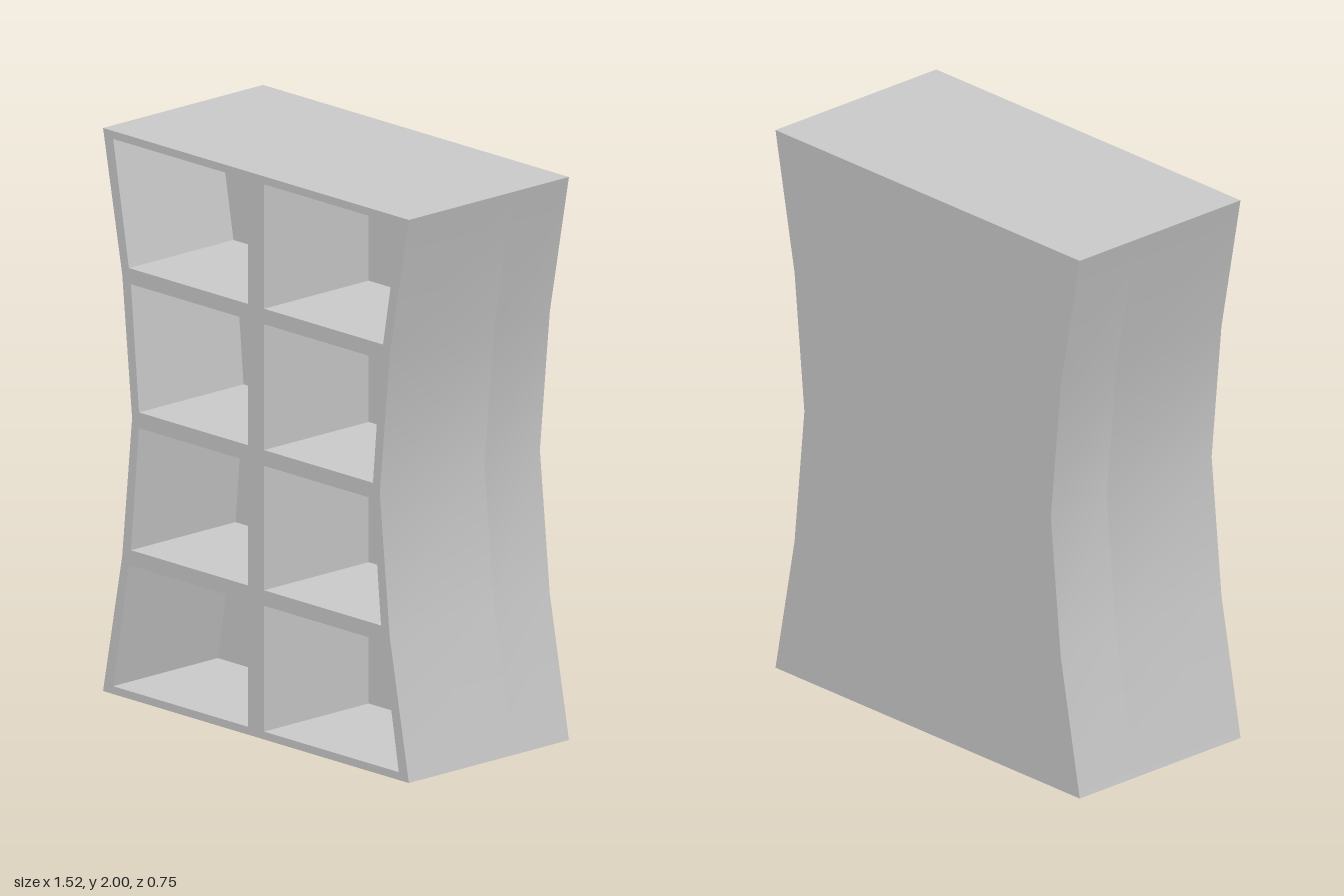
import * as THREE from 'three';
import { toCreasedNormals } from 'three/addons/utils/BufferGeometryUtils.js';

const FRONT = 0.375, BACK = -0.375, RECESS = 0.49;

// Right half of the waisted silhouette, from bottom to top
const SIDE = [[0.758, 0], [0.663, 0.5], [0.614, 1], [0.663, 1.5], [0.758, 2]];

// Compartments on the +x side: bottom y, top y, outer x at bottom, outer x at top
const CELLS = [
  [0.028, 0.475, 0.708, 0.63],
  [0.53, 0.972, 0.62, 0.58],
  [1.028, 1.475, 0.58, 0.62],
  [1.53, 1.972, 0.63, 0.708],
];
const INNER = 0.04;

const toPoints = (list) => list.map(([x, y]) => new THREE.Vector2(x, y));

function outline() {
  const mirrored = SIDE.map(([x, y]) => [-x, y]).reverse();
  return new THREE.Shape(toPoints([...SIDE, ...mirrored]));
}

export function createModel() {
  const group = new THREE.Group();
  group.name = 'bookcase';
  const material = new THREE.MeshStandardMaterial({ color: 0xcccccc });

  const addSlab = (name, shape, z, depth) => {
    const geometry = new THREE.ExtrudeGeometry(shape, { depth, bevelEnabled: false });
    geometry.translate(0, 0, z);
    const mesh = new THREE.Mesh(toCreasedNormals(geometry, 0.5), material);
    mesh.name = name;
    group.add(mesh);
  };

  // Frame with sides, centre divider and shelves around eight open compartments
  const frame = outline();
  for (const s of [1, -1]) {
    for (const [y0, y1, x0, x1] of CELLS) {
      frame.holes.push(new THREE.Path(toPoints([
        [s * INNER, y0], [s * INNER, y1], [s * x1, y1], [s * x0, y0],
      ])));
    }
  }
  addSlab('shelfFrame', frame, FRONT - RECESS, RECESS);

  // Thick solid back closing the compartments
  addSlab('backPanel', outline(), BACK, FRONT - BACK - RECESS);

  return group;
}
